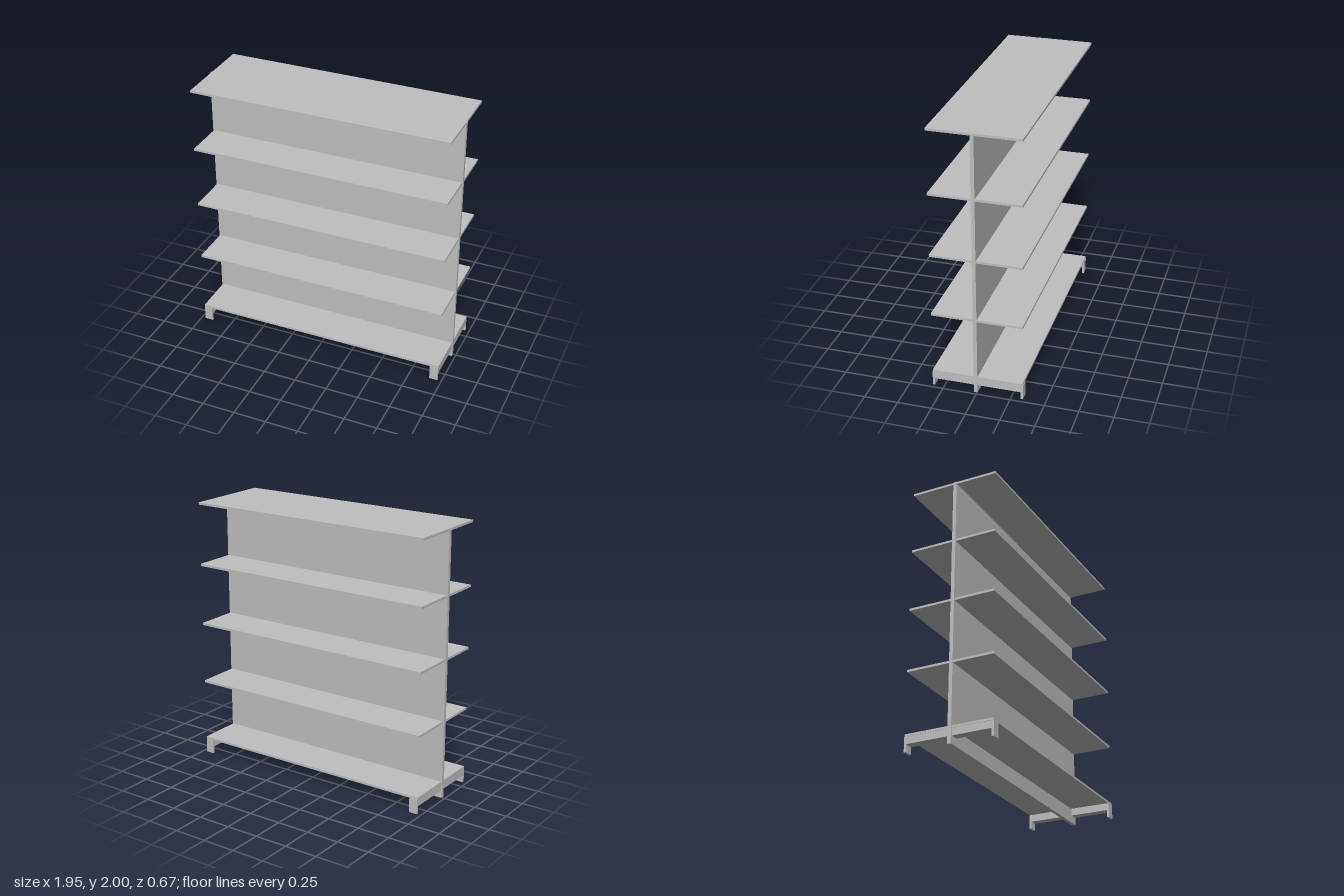
import * as THREE from 'three';

const SHELF_WIDTH = 1.942, SHELF_DEPTH = 0.666, SHELF_THICK = 0.017;
const SHELF_TOPS = [0.127, 0.597, 1.064, 1.53, 2.0];

export function createModel() {
  const group = new THREE.Group();
  group.name = 'doubleSidedShelving';
  const grey = new THREE.MeshStandardMaterial({ color: 0xbfbfbf });
  grey.name = 'light grey';

  // Box given by its minimum and maximum corners
  const box = (name, [x0, y0, z0], [x1, y1, z1], parent = group) => {
    const mesh = new THREE.Mesh(new THREE.BoxGeometry(x1 - x0, y1 - y0, z1 - z0), grey);
    mesh.position.set((x0 + x1) / 2, (y0 + y1) / 2, (z0 + z1) / 2);
    mesh.name = name;
    parent.add(mesh);
  };

  // Upright centre panel, a little wider than the shelves
  box('centrePanel', [-0.977, 0, -0.003], [0.977, 1.999, 0.024]);

  // Shelves reaching out on both sides of the panel
  SHELF_TOPS.forEach((top, i) => box(`shelf${i + 1}`,
    [-SHELF_WIDTH / 2, top - SHELF_THICK, -SHELF_DEPTH / 2],
    [SHELF_WIDTH / 2, top, SHELF_DEPTH / 2]));

  // Base supports: a cross bar with a foot plate at each end
  for (const side of [-1, 1]) {
    const support = new THREE.Group();
    support.name = side > 0 ? 'leftBaseSupport' : 'rightBaseSupport';
    support.position.x = side * 0.937;
    group.add(support);
    box('crossBar', [-0.032, 0.056, -0.32], [0.032, 0.11, 0.32], support);
    box('frontFoot', [-0.032, 0, 0.32], [0.032, 0.11, 0.336], support);
    box('backFoot', [-0.032, 0, -0.336], [0.032, 0.11, -0.32], support);
  }
  return group;
}
